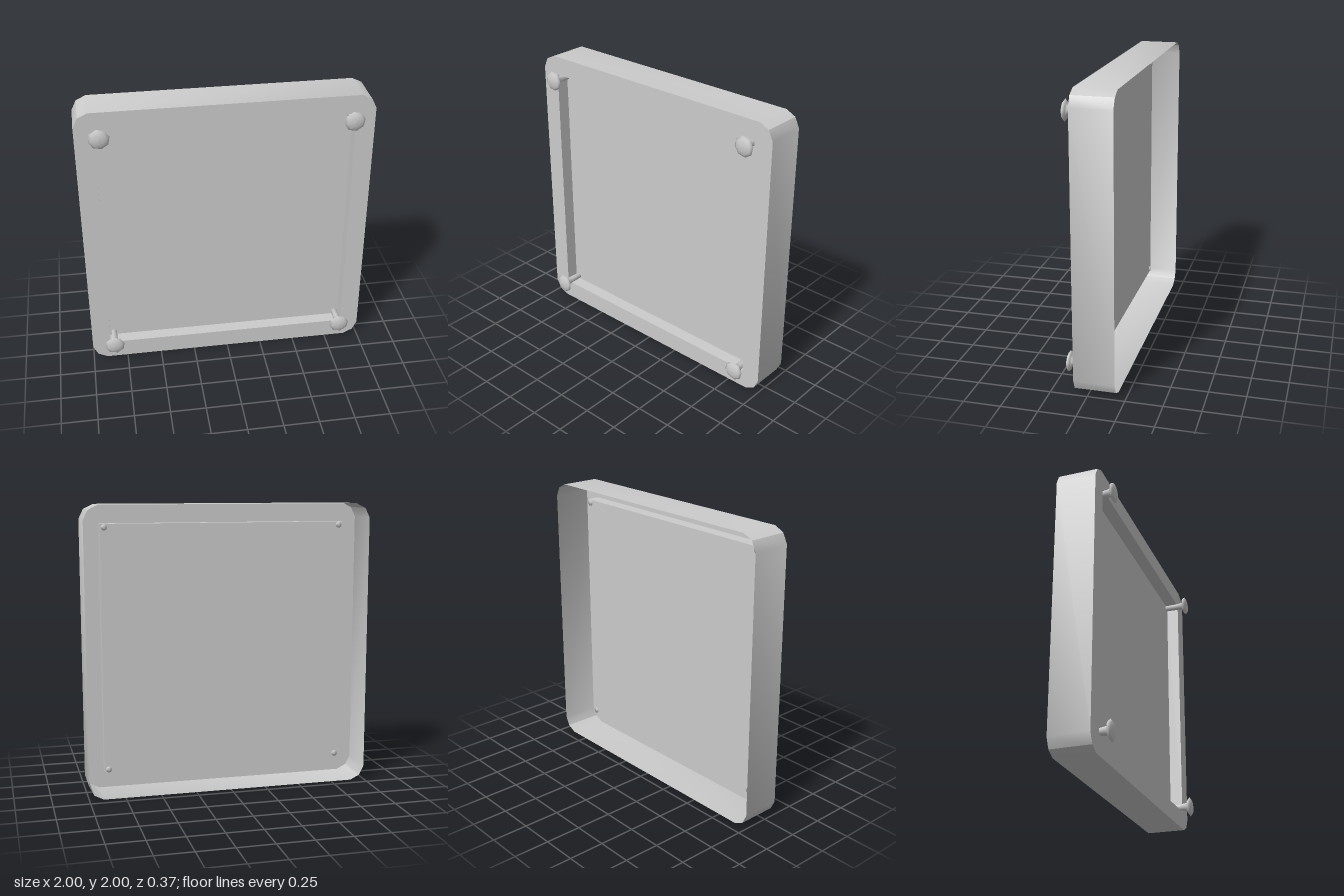
import * as THREE from 'three';
import { toCreasedNormals } from 'three/addons/utils/BufferGeometryUtils.js';

const FRONT = 0.093, BACK = -0.183, PANEL = 0.003; // depths along z
const INNER = 0.868;                               // half size of the recess
const PIN = 0.845;                                 // pin offset from the centre

// Closed band of quads around an outline, running from z = back to z = front
function band(outline, back, front) {
  const pos = [];
  outline.forEach((a, i) => {
    const b = outline[(i + 1) % outline.length];
    pos.push(a.x, a.y, back, b.x, b.y, back, b.x, b.y, front);
    pos.push(a.x, a.y, back, b.x, b.y, front, a.x, a.y, front);
  });
  const geo = new THREE.BufferGeometry();
  geo.setAttribute('position', new THREE.Float32BufferAttribute(pos, 3));
  return toCreasedNormals(geo, 0.6);
}

// Square outline with two-step cut corners, counter-clockwise
function outerOutline() {
  const points = [];
  const corner = [[1, 0.9], [0.967, 0.967], [0.9, 1]];
  for (let k = 0; k < 4; k++) {
    for (const [x, y] of corner) {
      points.push(new THREE.Vector2(x, y).rotateAround(new THREE.Vector2(), k * Math.PI / 2));
    }
  }
  return points;
}

export function createModel() {
  const model = new THREE.Group();
  model.name = 'wallTray';
  const grey = new THREE.MeshStandardMaterial({ color: 0xcccccc, side: THREE.DoubleSide });
  grey.name = 'light grey';

  const body = new THREE.Group();
  body.name = 'body';
  body.position.y = 1;
  model.add(body);
  const add = (name, geometry) => {
    const mesh = new THREE.Mesh(geometry, grey);
    mesh.name = name;
    body.add(mesh);
    return mesh;
  };

  // Thin outer wall, open at the back
  const outer = outerOutline();
  add('outerWall', band(outer, BACK, FRONT));

  // Front frame with a square opening
  const inner = [[-1, -1], [-1, 1], [1, 1], [1, -1]]
    .map(([x, y]) => new THREE.Vector2(x * INNER, y * INNER));
  const frame = new THREE.Shape(outer);
  frame.holes.push(new THREE.Path(inner));
  add('frontFrame', new THREE.ShapeGeometry(frame)).position.z = FRONT;

  // Recessed panel and its side walls
  add('recessWall', band(inner, PANEL, FRONT));
  add('recessedPanel', new THREE.PlaneGeometry(INNER * 2, INNER * 2)).position.z = PANEL;

  // Corner pins with flared stems and lens-shaped heads
  const profile = [
    [0, -0.002], [0.022, -0.002], [0.024, 0.09], [0.032, 0.142],
    [0.055, 0.149], [0.071, 0.162], [0.055, 0.173], [0.028, 0.18], [0, 0.182],
  ].map(([r, z]) => new THREE.Vector2(r, z));
  const pinGeometry = new THREE.LatheGeometry(profile, 8, 0.2);
  pinGeometry.rotateX(Math.PI / 2);
  for (const x of [-1, 1]) {
    for (const y of [-1, 1]) {
      const name = (y > 0 ? 'upper' : 'lower') + (x > 0 ? 'Left' : 'Right') + 'Pin';
      add(name, pinGeometry).position.set(x * (PIN - 0.005), y * PIN, 0);
    }
  }

  return model;
}
